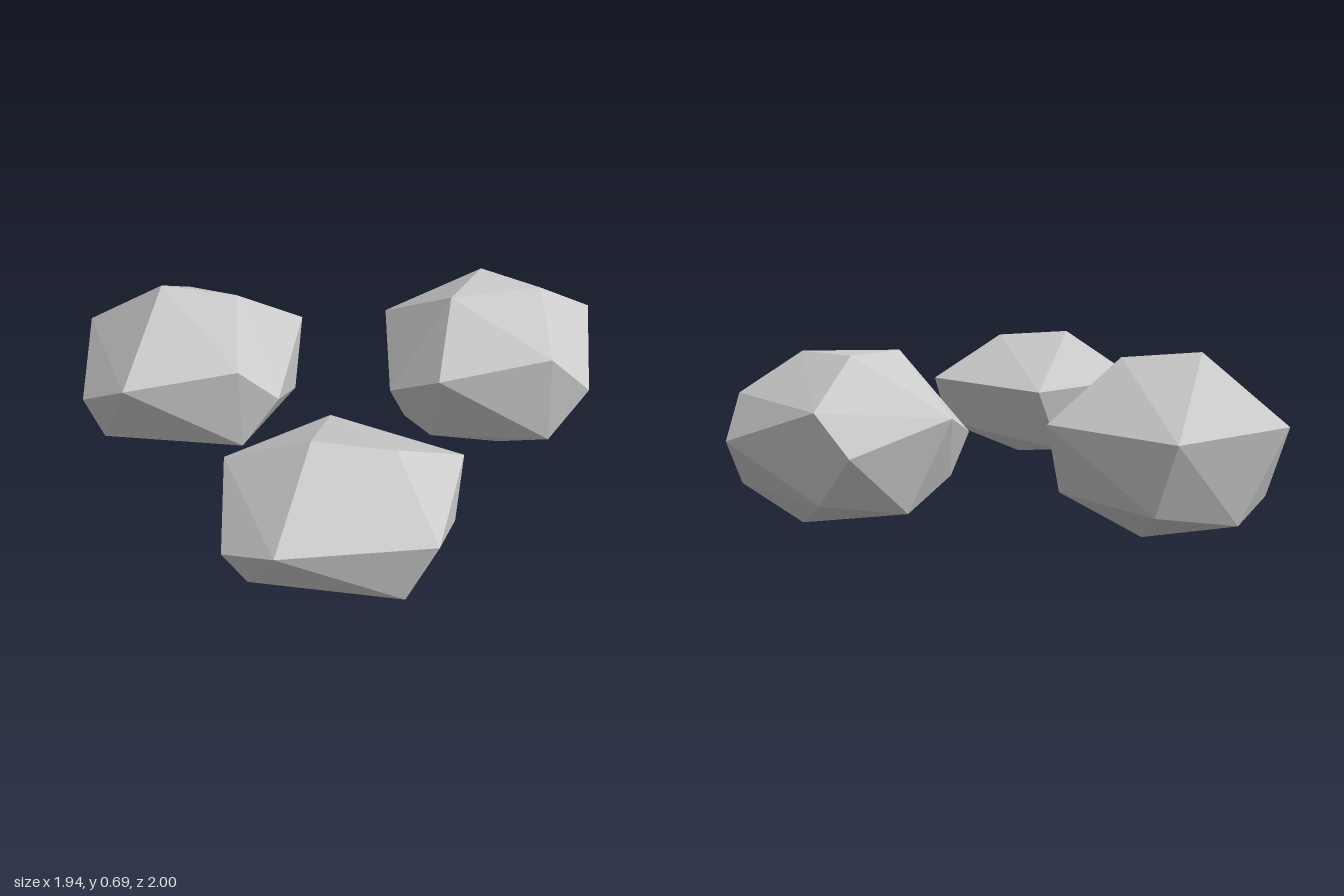
import * as THREE from 'three';
import { ConvexGeometry } from 'three/addons/geometries/ConvexGeometry.js';

const material = new THREE.MeshStandardMaterial({ color: 0xcccccc, flatShading: true });

// A faceted rock is the convex hull of a few corner points [x, y, z].
function rock(name, corners) {
  const points = corners.map((c) => new THREE.Vector3(...c));
  const mesh = new THREE.Mesh(new ConvexGeometry(points), material);
  mesh.name = name;
  return mesh;
}

export function createModel() {
  const group = new THREE.Group();
  group.name = 'rocks';

  group.add(rock('backRock', [
    // crown
    [-0.59, 0.685, -0.645], [-0.36, 0.655, -0.475],
    // shoulders
    [-0.77, 0.46, -0.94], [-0.31, 0.445, -1], [-0.05, 0.445, -0.53],
    [-0.9, 0.457, -0.36], [-0.51, 0.5, -0.195],
    // waist
    [-0.97, 0.33, -0.59], [-0.37, 0.365, -0.15],
    // underside
    [-0.51, 0.185, -0.19], [-0.13, 0.18, -0.46], [-0.275, 0.18, -0.91],
    [-0.6, 0.12, -0.905], [-0.89, 0.13, -0.61], [-0.43, 0, -0.525],
  ]));

  group.add(rock('frontRock', [
    // crown
    [-0.59, 0.605, 0.485], [-0.36, 0.58, 0.65],
    // shoulders
    [-0.77, 0.44, 0.19], [-0.31, 0.425, 0.13], [-0.05, 0.425, 0.6],
    [-0.42, 0.425, 1], [-0.9, 0.43, 0.78],
    // waist
    [-0.97, 0.33, 0.545],
    // underside
    [-0.51, 0.215, 0.94], [-0.13, 0.22, 0.67], [-0.42, 0.18, 0.18],
    [-0.88, 0.18, 0.545], [-0.43, 0.085, 0.61],
  ]));

  group.add(rock('sideRock', [
    // crown
    [0.315, 0.655, -0.025], [0.54, 0.665, -0.15], [0.65, 0.655, 0.085],
    // shoulders
    [0.505, 0.515, 0.365], [0.885, 0.515, 0.095], [0.735, 0.51, -0.35],
    [0.245, 0.46, -0.38], [0.113, 0.46, 0.2],
    // waist
    [0.045, 0.33, -0.03], [0.647, 0.365, -0.465], [0.967, 0.365, -0.025], [0.65, 0.365, 0.415],
    // underside
    [0.5, 0.175, 0.375], [0.88, 0.175, 0.11], [0.72, 0.18, -0.345], [0.395, 0.12, -0.335],
    [0.13, 0.175, -0.06], [0.195, 0.11, 0.03], [0.47, 0.025, 0.1], [0.69, 0.04, -0.02],
  ]));

  return group;
}
